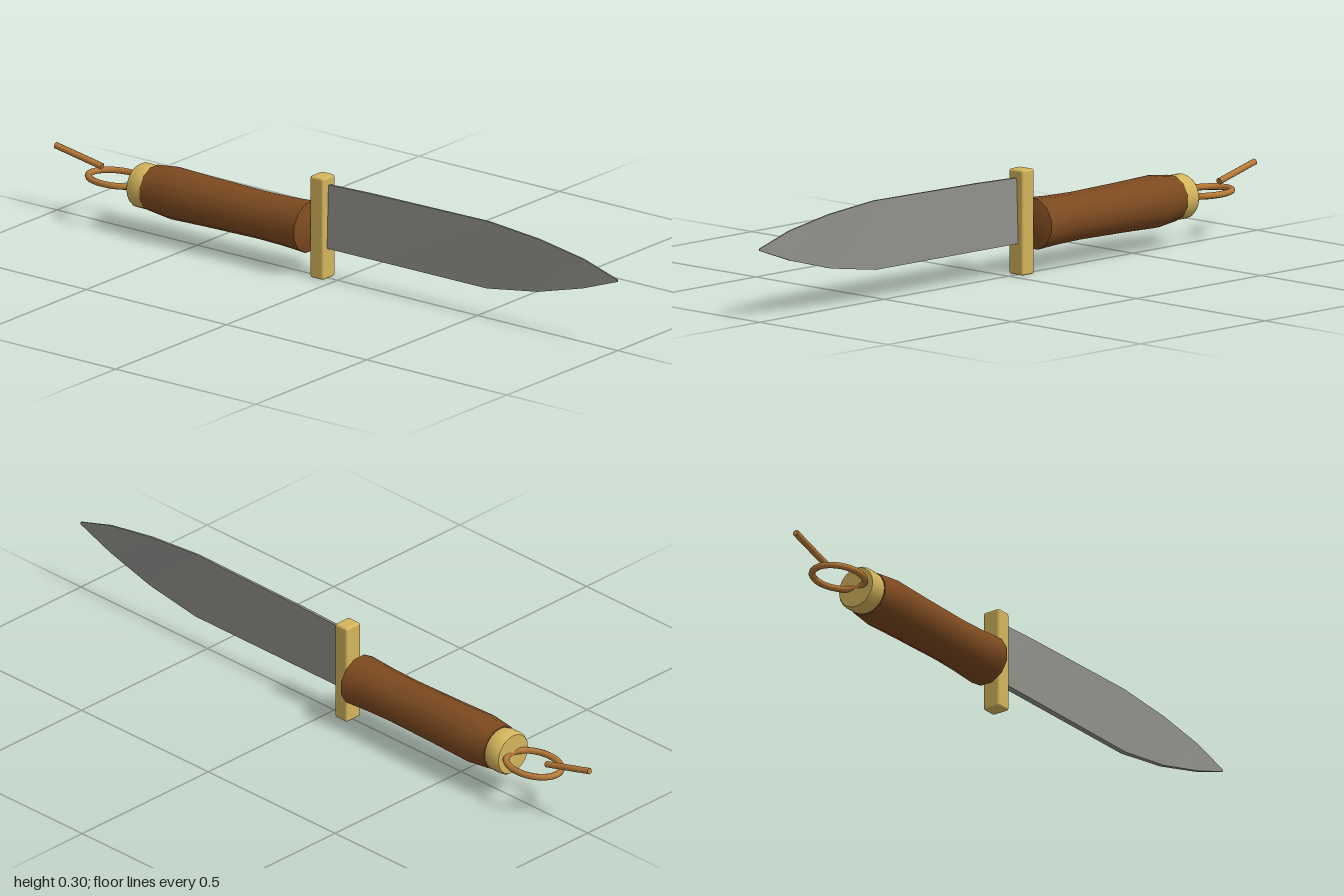
import * as THREE from 'three';
import { toCreasedNormals } from 'three/addons/utils/BufferGeometryUtils.js';
import { RoundedBoxGeometry } from 'three/addons/geometries/RoundedBoxGeometry.js';

const AXIS_Y = 0.137;

// Turned part lying along x; profile is [x, radius] from left to right
function turned(profile, segments, phi) {
  const g = new THREE.LatheGeometry(profile.map(([x, r]) => new THREE.Vector2(r, x)), segments, phi);
  g.rotateZ(-Math.PI / 2).translate(0, AXIS_Y, 0);
  return toCreasedNormals(g, 0.65);
}

// Blade lofted from four-cornered sections, thick along the bottom and thin along the top
function bladeGeometry() {
  // x, bottom y, top y, half thickness at bottom, half thickness at top
  const sections = [
    [-0.04, 0.09, 0.276, 0.010, 0.004],
    [0.12, 0.09, 0.281, 0.0095, 0.004],
    [0.54, 0.09, 0.286, 0.008, 0.003],
    [0.72, 0.117, 0.271, 0.0065, 0.003],
    [0.88, 0.160, 0.245, 0.005, 0.0025],
    [1.0, 0.203, 0.209, 0.0025, 0.002],
  ];
  const pos = [], idx = [];
  for (const [x, b, t, hb, ht] of sections)
    pos.push(x, b, hb, x, t, ht, x, t, -ht, x, b, -hb);
  for (let i = 0; i < sections.length - 1; i++) {
    for (let j = 0; j < 4; j++) {
      const a = i * 4 + j, b = i * 4 + (j + 1) % 4;
      idx.push(a, a + 4, b + 4, a, b + 4, b);
    }
  }
  const e = (sections.length - 1) * 4;
  idx.push(0, 1, 2, 0, 2, 3, e, e + 2, e + 1, e, e + 3, e + 2);
  const g = new THREE.BufferGeometry();
  g.setAttribute('position', new THREE.Float32BufferAttribute(pos, 3));
  g.setIndex(idx);
  const flat = g.toNonIndexed();
  flat.computeVertexNormals();
  return flat;
}

export function createModel() {
  const group = new THREE.Group();
  const material = (name, color) => {
    const m = new THREE.MeshStandardMaterial({ color });
    m.name = name;
    return m;
  };
  const steel = material('steel', 0x8f8f8a);
  const brass = material('brass', 0xd4b55c);
  const wood = material('wood', 0x7d4a20);
  const leather = material('leather', 0xb87a38);
  const add = (name, geometry, mat) => {
    const mesh = new THREE.Mesh(geometry, mat);
    mesh.name = name;
    group.add(mesh);
    return mesh;
  };

  add('blade', bladeGeometry(), steel);

  // Cross guard
  const guard = add('guard', new RoundedBoxGeometry(0.048, 0.30, 0.056, 2, 0.007), brass);
  guard.position.set(-0.053, 0.15, 0);

  // Waisted grip with a shallow pointed end against the guard
  add('grip', turned([
    [-0.655, 0], [-0.655, 0.066], [-0.58, 0.0745], [-0.45, 0.071], [-0.27, 0.068],
    [-0.18, 0.070], [-0.098, 0.0745], [-0.072, 0],
  ], 12, Math.PI / 12), wood);

  // Pommel cap
  add('pommel', turned([
    [-0.706, 0], [-0.706, 0.059], [-0.698, 0.064], [-0.665, 0.064], [-0.648, 0.060], [-0.648, 0],
  ], 20, 0), brass);

  // Cord loop, an upright-normal ellipse
  const loop = [];
  for (let i = 0; i < 16; i++) {
    const a = i * Math.PI / 8;
    loop.push(new THREE.Vector3(-0.787 + 0.089 * Math.cos(a), 0.138, 0.064 * Math.sin(a)));
  }
  add('cordLoop', new THREE.TubeGeometry(new THREE.CatmullRomCurve3(loop, true), 40, 0.0095, 8, true), leather);

  // Loose cord end rising away from the loop
  const from = new THREE.Vector3(-0.842, 0.16, -0.004);
  const to = new THREE.Vector3(-0.998, 0.194, 0.009);
  const dir = to.clone().sub(from);
  const tail = add('cordTail', new THREE.CylinderGeometry(0.0095, 0.0095, dir.length(), 8), leather);
  tail.position.copy(from).add(to).multiplyScalar(0.5);
  tail.quaternion.setFromUnitVectors(new THREE.Vector3(0, 1, 0), dir.normalize());

  return group;
}
